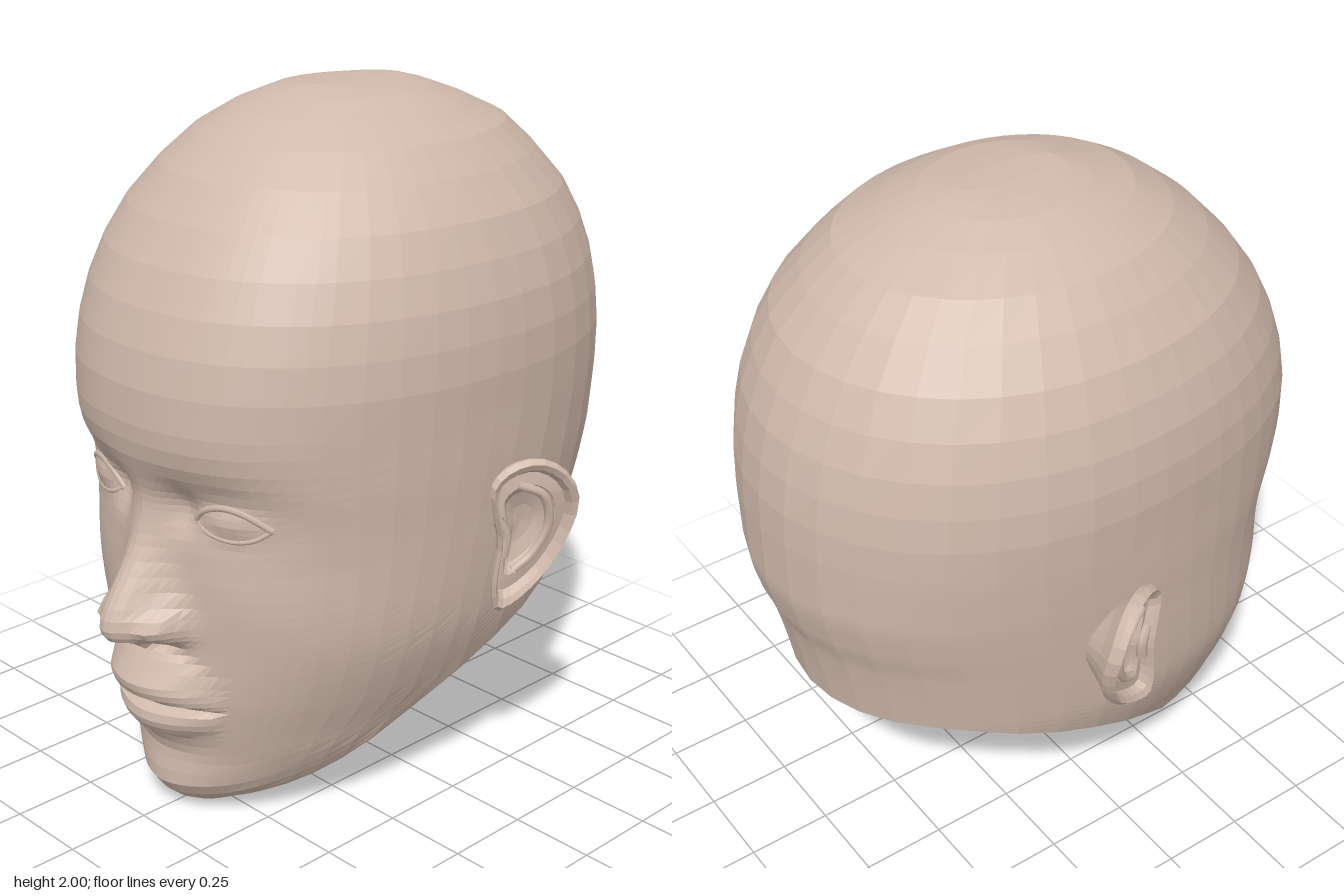
import * as THREE from 'three';

const skin = new THREE.MeshStandardMaterial({ color: 0xd0b9ab, side: THREE.DoubleSide });
skin.name = 'skin';
const V = (x, y, z) => new THREE.Vector3(x, y, z);

// Smooth, overshoot-free interpolation of column k in a table sorted by its first column
function look(table, t, k = 1) {
  const n = table.length;
  if (t <= table[0][0]) return table[0][k];
  if (t >= table[n - 1][0]) return table[n - 1][k];
  let i = 1;
  while (table[i][0] < t) i++;
  const slope = (j) => (table[j][k] - table[j - 1][k]) / (table[j][0] - table[j - 1][0]);
  const tangent = (j) => {
    if (j === 0) return slope(1);
    if (j === n - 1) return slope(j);
    const a = slope(j), b = slope(j + 1);
    return a * b > 0 ? 2 * a * b / (a + b) : 0;
  };
  const h = table[i][0] - table[i - 1][0], s = (t - table[i - 1][0]) / h, r = 1 - s;
  return table[i - 1][k] * r * r * (1 + 2 * s) + table[i][k] * s * s * (3 - 2 * s)
    + h * s * r * (r * tangent(i - 1) - s * tangent(i));
}

// Faceted surface through closed rings of points
function loft(name, rings) {
  const pos = [];
  const n = rings[0].length;
  for (let j = 0; j + 1 < rings.length; j++) {
    for (let i = 0; i < n; i++) {
      const k = (i + 1) % n;
      const a = rings[j][i], b = rings[j][k], c = rings[j + 1][k], d = rings[j + 1][i];
      for (const p of [a, b, c, a, c, d]) pos.push(p.x, p.y, p.z);
    }
  }
  const g = new THREE.BufferGeometry();
  g.setAttribute('position', new THREE.Float32BufferAttribute(pos, 3));
  g.computeVertexNormals();
  const m = new THREE.Mesh(g, skin);
  m.name = name;
  return m;
}

function tube(name, pts, radius) {
  const m = new THREE.Mesh(new THREE.TubeGeometry(new THREE.CatmullRomCurve3(pts), 24, radius, 6), skin);
  m.name = name;
  return m;
}

// Head slices: height, half width, front z, back z, z of widest point
const SLICE = [
  [0, 0.2, 0.58, -0.7, 0.1], [0.02, 0.21, 0.62, -0.7, 0.1], [0.05, 0.265, 0.655, -0.7, 0.1],
  [0.1, 0.33, 0.685, -0.7, 0.1], [0.2, 0.405, 0.675, -0.7, 0.1], [0.3, 0.46, 0.69, -0.7, 0.05],
  [0.4, 0.515, 0.7, -0.73, 0], [0.6, 0.583, 0.695, -0.76, 0], [0.8, 0.605, 0.695, -0.8, -0.03],
  [0.9, 0.612, 0.712, -0.835, -0.05], [1.03, 0.622, 0.742, -0.86, -0.07], [1.2, 0.63, 0.77, -0.86, -0.1],
  [1.3, 0.635, 0.765, -0.855, -0.1], [1.4, 0.63, 0.745, -0.84, -0.1], [1.5, 0.615, 0.71, -0.815, -0.1],
  [1.6, 0.585, 0.66, -0.775, -0.1], [1.7, 0.54, 0.59, -0.72, -0.09], [1.8, 0.465, 0.5, -0.63, -0.08],
  [1.88, 0.39, 0.4, -0.54, -0.07], [1.94, 0.29, 0.3, -0.41, -0.06], [1.98, 0.2, 0.17, -0.3, -0.06],
  [1.993, 0.12, 0.125, -0.25, -0.06], [2, 0.05, 0.1, -0.21, -0.06],
];
// Squareness of the front half of each slice (2 is an ellipse)
const SQUARE = [[0.1, 2], [0.7, 2.25], [1.6, 2.25], [2, 2]];
// Height of the open lower edge around the head (degrees from the front)
const RIM = [[0, 0], [30, 0.02], [45, 0.05], [60, 0.1], [75, 0.2], [84, 0.3], [90, 0.38],
  [110, 0.5], [140, 0.59], [180, 0.58]];
// Nose: height, projection, half width
const NOSE = [[0.53, 0, 0.06], [0.55, 0.05, 0.065], [0.565, 0.1, 0.08], [0.585, 0.15, 0.095],
  [0.62, 0.168, 0.1], [0.65, 0.163, 0.098], [0.7, 0.137, 0.088], [0.8, 0.07, 0.074],
  [0.9, 0.015, 0.065], [1, -0.01, 0.08], [1.1, 0, 0.1]];
// Lips: height, projection
const LIPS = [[0.2, 0], [0.23, 0.008], [0.262, 0.022], [0.28, 0.045], [0.32, 0.062], [0.345, 0.055],
  [0.36, 0.03], [0.372, -0.03], [0.385, 0.045], [0.4, 0.075], [0.44, 0.09], [0.48, 0.068],
  [0.53, 0.04], [0.57, 0]];

const bump = (x, y, cx, cy, rx, ry) => Math.exp(-(((x - cx) / rx) ** 2) - ((y - cy) / ry) ** 2);

// Forward relief of the face
function relief(x, y) {
  const ax = Math.abs(x);
  const lip = Math.max(0, 1 - (ax / 0.23) ** 2);
  return look(NOSE, y) * Math.exp(-((ax / look(NOSE, y, 2)) ** 2.2))
    + look(LIPS, 0.372 + (y - 0.372) / (0.5 + 0.5 * lip)) * lip
    + 0.06 * bump(ax, y, 0.112, 0.625, 0.038, 0.05)
    - 0.045 * bump(ax, y, 0.055, 0.56, 0.03, 0.014)
    - 0.055 * bump(ax, y, 0.23, 0.97, 0.16, 0.09)
    - 0.03 * bump(ax, y, 0.12, 0.96, 0.05, 0.07)
    + 0.035 * bump(ax, y, 0.27, 0.95, 0.085, 0.045)
    + 0.01 * bump(ax, y, 0.34, 0.74, 0.14, 0.14);
}

function headPoint(deg, y) {
  const a = deg * Math.PI / 180;
  const [w, zf, zb, zc] = [1, 2, 3, 4].map((k) => look(SLICE, y, k));
  const n = Math.cos(a) > 0 ? look(SQUARE, y) : 2;
  const size = (Math.abs(Math.sin(a)) ** n + Math.abs(Math.cos(a)) ** n) ** (1 / n);
  const x = w * Math.sin(a) / size, c = Math.cos(a) / size;
  return c > 0 ? V(x, y, zc + (zf - zc) * c + relief(x, y) * Math.min(1, c * 3))
    : V(x, y, zc - (zb - zc) * c);
}

// Point of the face surface at a given x and y
function facePoint(x, y) {
  const s = x / look(SLICE, y), n = look(SQUARE, y);
  return headPoint(Math.atan2(s, (1 - s ** n) ** (1 / n)) * 180 / Math.PI, y);
}

function buildHead() {
  const half = [];
  for (let d = 0; d < 24; d += 2) half.push(d);
  for (let d = 24; d < 48; d += 4) half.push(d);
  for (let d = 48; d < 90; d += 7) half.push(d);
  for (let d = 90; d < 180; d += 10) half.push(d);
  const angles = [...half, 180, ...half.slice(1).reverse().map((d) => -d)];
  const rows = [0, 0.02, 0.05, 0.09, 0.13, 0.17, 0.2, 0.23, 0.262, 0.28, 0.3, 0.32, 0.345, 0.36, 0.372,
    0.385, 0.4, 0.42, 0.44, 0.48, 0.51, 0.53, 0.55, 0.565, 0.585, 0.6, 0.62, 0.65, 0.68, 0.72, 0.76,
    0.8, 0.84, 0.87, 0.9, 0.92, 0.94, 0.96, 0.98, 1, 1.03, 1.06, 1.1, 1.15, 1.2, 1.3, 1.4, 1.5, 1.6,
    1.7, 1.8, 1.88, 1.94, 1.98, 1.993, 2];
  const rings = rows.map((r) => angles.map((d) => {
    const rim = look(RIM, Math.abs(d));
    return headPoint(d, r < 1.2 ? r + rim * (1 - r / 1.2) : r);
  }));
  // Underside of the chin and jaw, folding inwards from the lower edge
  const under = [1, 0.75, 0.5, 0.25].map((s) => rings[0].map((p, i) => {
    const inward = Math.max(0, 1 - (angles[i] / 115) ** 2);
    const k = Math.max(0, 1 - (angles[i] / 90) ** 2);
    return V(p.x * (1 - 0.42 * s * inward), p.y + 0.25 * k * s ** 1.4 + 0.02 * s * inward, p.z - 0.32 * k * s);
  }));
  const crown = angles.map(() => V(0, 2, -0.06));
  return loft('head', [...under, ...rings, crown]);
}

function buildEye(s) {
  const eye = new THREE.Group();
  eye.name = s > 0 ? 'leftEye' : 'rightEye';
  const lid = (pts) => pts.map(([x, y]) => {
    const p = facePoint(x, y);
    return V(p.x * s, p.y, p.z - 0.003);
  });
  eye.add(tube('upperLid', lid([[0.155, 0.935], [0.19, 0.97], [0.25, 0.992], [0.31, 0.985], [0.375, 0.945]]), 0.01));
  eye.add(tube('lowerLid', lid([[0.155, 0.935], [0.2, 0.912], [0.27, 0.9], [0.33, 0.912], [0.375, 0.945]]), 0.007));
  const ball = new THREE.Mesh(new THREE.SphereGeometry(0.115, 16, 12), skin);
  ball.name = 'eyeball';
  ball.position.set(s * 0.26, 0.95, 0.49);
  eye.add(ball);
  return eye;
}

function buildEar(s) {
  const ear = new THREE.Group();
  ear.name = s > 0 ? 'leftEar' : 'rightEar';
  // Ear surface: u runs back and outwards (flaring more near the top), d faces out and forwards
  const place = (u, y, d) => {
    const flare = THREE.MathUtils.clamp(0.35 + (y - 0.6) * 1.9, 0.3, 1);
    return V(s * (0.61 + 0.46 * u * flare + 0.89 * d), y, -0.89 * u + 0.46 * d);
  };
  const outline = new THREE.CatmullRomCurve3([[0, 0.98], [0.05, 1.03], [0.14, 1.045], [0.22, 1], [0.27, 0.9],
    [0.255, 0.78], [0.19, 0.67], [0.1, 0.61], [0.03, 0.6], [0.015, 0.68], [0.03, 0.8], [0.01, 0.9]]
    .map(([u, y]) => V(u, y, 0)), true).getPoints(28).slice(0, 28);
  // Scale and depth of each ring, from the back of the ear into its bowl
  const rings = [[0.5, -0.1], [0.75, -0.05], [0.97, -0.015], [1, 0.005], [0.94, 0.022], [0.85, 0.012],
    [0.78, -0.012], [0.6, -0.01], [0.48, -0.03], [0.25, -0.045], [0.001, -0.05]].map(([k, d]) =>
    outline.map((p) => place(0.12 + (p.x - 0.12) * k, 0.84 + (p.y - 0.84) * k, d)));
  if (s > 0) rings.forEach((r) => r.reverse());
  ear.add(loft('earShell', rings));
  const fold = (name, pts, r) => ear.add(tube(name, pts.map(([u, y]) => place(u, y, -0.005)), r));
  fold('innerFold', [[0.08, 0.97], [0.16, 0.93], [0.19, 0.84], [0.15, 0.75], [0.09, 0.71]], 0.014);
  fold('tragus', [[0.03, 0.87], [0.055, 0.82], [0.05, 0.76]], 0.017);
  return ear;
}

// Closed pocket behind the lips: z, centre height, half width, half height
function buildMouthCavity() {
  const rings = [[0.62, 0.372, 0.17, 0.015], [0.5, 0.36, 0.19, 0.08], [0.3, 0.34, 0.19, 0.145],
    [0.12, 0.32, 0.19, 0.18], [0, 0.32, 0.16, 0.235], [-0.06, 0.36, 0.14, 0.19], [-0.085, 0.42, 0.1, 0.1],
    [-0.085, 0.42, 0, 0]].map(([z, y, rx, ry]) => Array.from({ length: 10 }, (_, i) => {
    const a = -i / 10 * Math.PI * 2 - Math.PI / 2;
    return V(rx * Math.cos(a), y + ry * Math.sin(a), z);
  }));
  return loft('mouthCavity', rings);
}

export function createModel() {
  const model = new THREE.Group();
  model.name = 'humanHead';
  model.add(buildHead(), buildMouthCavity());
  for (const s of [1, -1]) model.add(buildEye(s), buildEar(s));
  return model;
}
